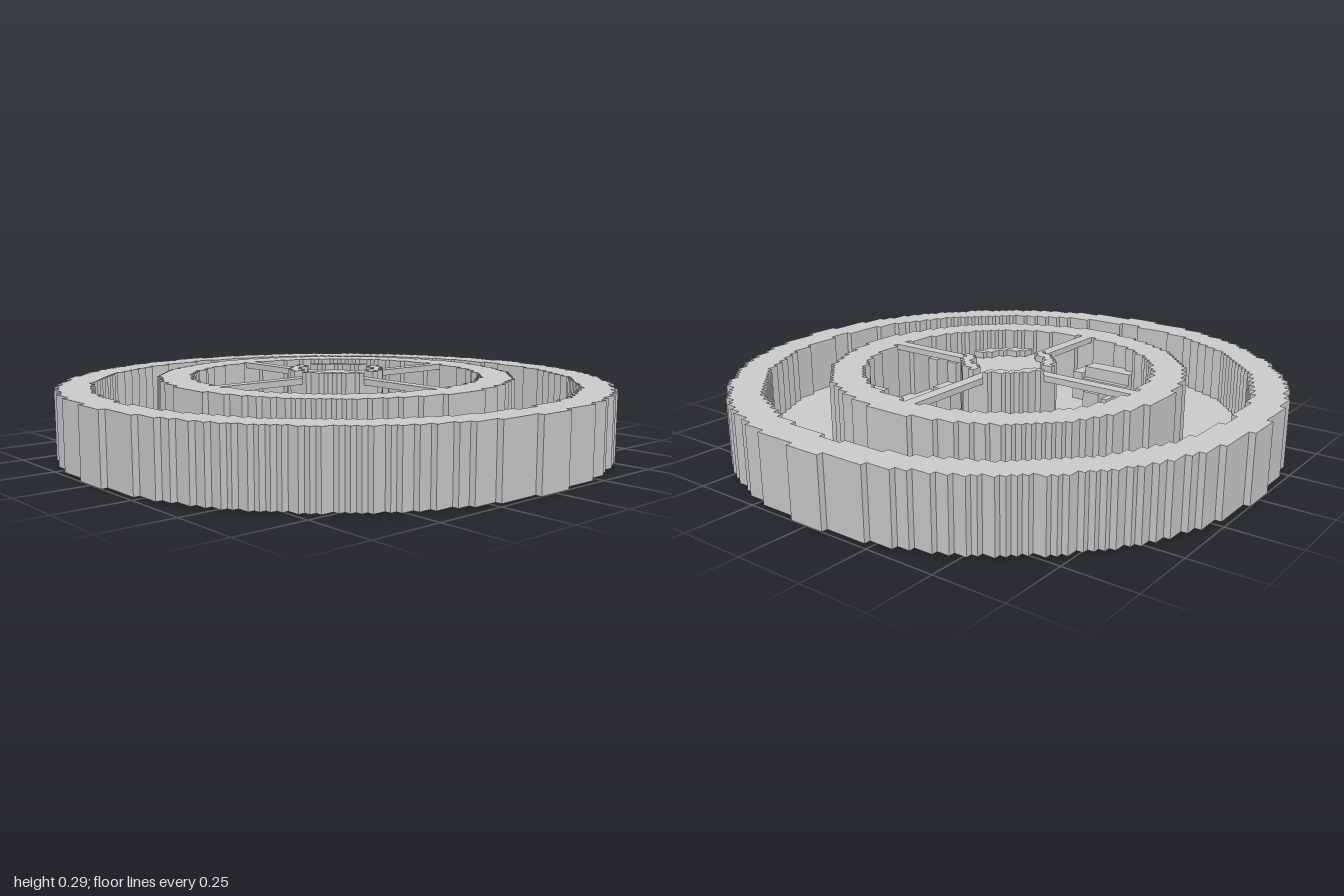
import * as THREE from 'three';

const U = 2 / 90; // one grid cell
const material = new THREE.MeshStandardMaterial({ color: 0xcccccc, flatShading: true });

// Stepped quarter circle on the cell grid, from the x axis round to the y axis
function quarter(r2) {
  const pts = [];
  for (let k = 0; ; k++) {
    let w = 0;
    while ((w + 0.5) ** 2 + (k + 0.5) ** 2 < r2) w++;
    if (!w) return pts;
    const last = pts[pts.length - 1];
    if (last && last.x === w) last.y = k + 1;
    else pts.push(new THREE.Vector2(w, k), new THREE.Vector2(w, k + 1));
  }
}

// Whole stepped circle: the quarter turned four times
function circle(r2) {
  const pts = [];
  let q = quarter(r2).slice(1);
  for (let i = 0; i < 4; i++) {
    pts.push(...q);
    q = q.map(p => new THREE.Vector2(-p.y, p.x));
  }
  return pts;
}

// Extrude a plan shape upward between two heights (in cells)
function slab(name, outline, hole, y0, y1) {
  const shape = new THREE.Shape(outline);
  if (hole) shape.holes.push(new THREE.Path(hole));
  const geo = new THREE.ExtrudeGeometry(shape, { depth: y1 - y0, bevelEnabled: false });
  geo.rotateX(-Math.PI / 2).translate(0, y0, 0);
  const mesh = new THREE.Mesh(geo, material);
  mesh.name = name;
  return mesh;
}

function block(name, x0, x1, z0, z1, y0, y1) {
  const geo = new THREE.BoxGeometry(x1 - x0, y1 - y0, z1 - z0);
  geo.translate((x0 + x1) / 2, (y0 + y1) / 2, (z0 + z1) / 2);
  const mesh = new THREE.Mesh(geo, material);
  mesh.name = name;
  return mesh;
}

export function createModel() {
  const model = new THREE.Group();
  model.name = 'steppedWheel';
  const FLOOR = 2;

  // Base disc, outer wall, inner ring and central pillar
  model.add(
    slab('baseDisc', circle(1989), null, 0, FLOOR),
    slab('outerWall', circle(1989), circle(1563), FLOOR, 11),
    slab('innerRing', circle(828), circle(556), FLOOR, 12),
    slab('hubPillar', circle(60), null, FLOOR, 12)
  );

  // Raised hub rim, split by the spokes, and the four thin spokes
  const clip = p => new THREE.Vector2(Math.max(p.x, 1), Math.max(p.y, 1));
  const outer = quarter(60).map(clip);
  const inner = quarter(34).map(clip);
  const rim = [...outer, new THREE.Vector2(1, 8), new THREE.Vector2(1, 6), ...inner.reverse()];
  for (let i = 0; i < 4; i++) {
    const rimPart = slab('hubRim', rim, null, 12, 13);
    const spoke = block('spoke', 7, 24, -1, 1, 11, 12);
    rimPart.rotation.y = spoke.rotation.y = i * Math.PI / 2;
    model.add(rimPart, spoke);
  }

  // Free-standing lumps on the inner floor: x0, x1, z0, z1, height
  const lumps = [
    [-9, -5, -15, -11, 7], [-8, -4, -16, -12, 8],
    [-13, -11, -6, -4, 6], [-12, -10, -5, -3, 5],
    [6, 10, -13, -11, 6], [8, 11, -12, -9, 7],
    [11, 15, -2, 2, 6],
    [-13, -10, 10, 13, 6], [-12, -9, 9, 12, 7],
    [4, 8, 10, 14, 8], [5, 9, 11, 15, 7]
  ];
  // Lumps growing out of the inner ring
  const ringLumps = [
    [-16, -12, -18, -16, 8], [-19, -14, -17, -14, 7],
    [-22, -20, -9, -2, 6],
    [6, 8, -24, -18, 8], [8, 15, -22, -18, 7],
    [14, 16, -18, -12, 7], [16, 20, -18, -12, 8],
    [19, 23, 9, 12, 7], [21, 24, 6, 10, 8],
    [10, 12, 16, 21, 6], [11, 18, 15, 20, 8],
    [-12, -3, 18, 19, 6], [-12, -3, 19, 22, 8], [-3, -1, 18, 23, 7]
  ];
  for (const [x0, x1, z0, z1, h] of lumps) model.add(block('floorLump', x0, x1, z0, z1, FLOOR, h));
  for (const [x0, x1, z0, z1, h] of ringLumps) model.add(block('ringLump', x0, x1, z0, z1, FLOOR, h));

  model.scale.setScalar(U);
  const root = new THREE.Group();
  root.add(model);
  return root;
}
